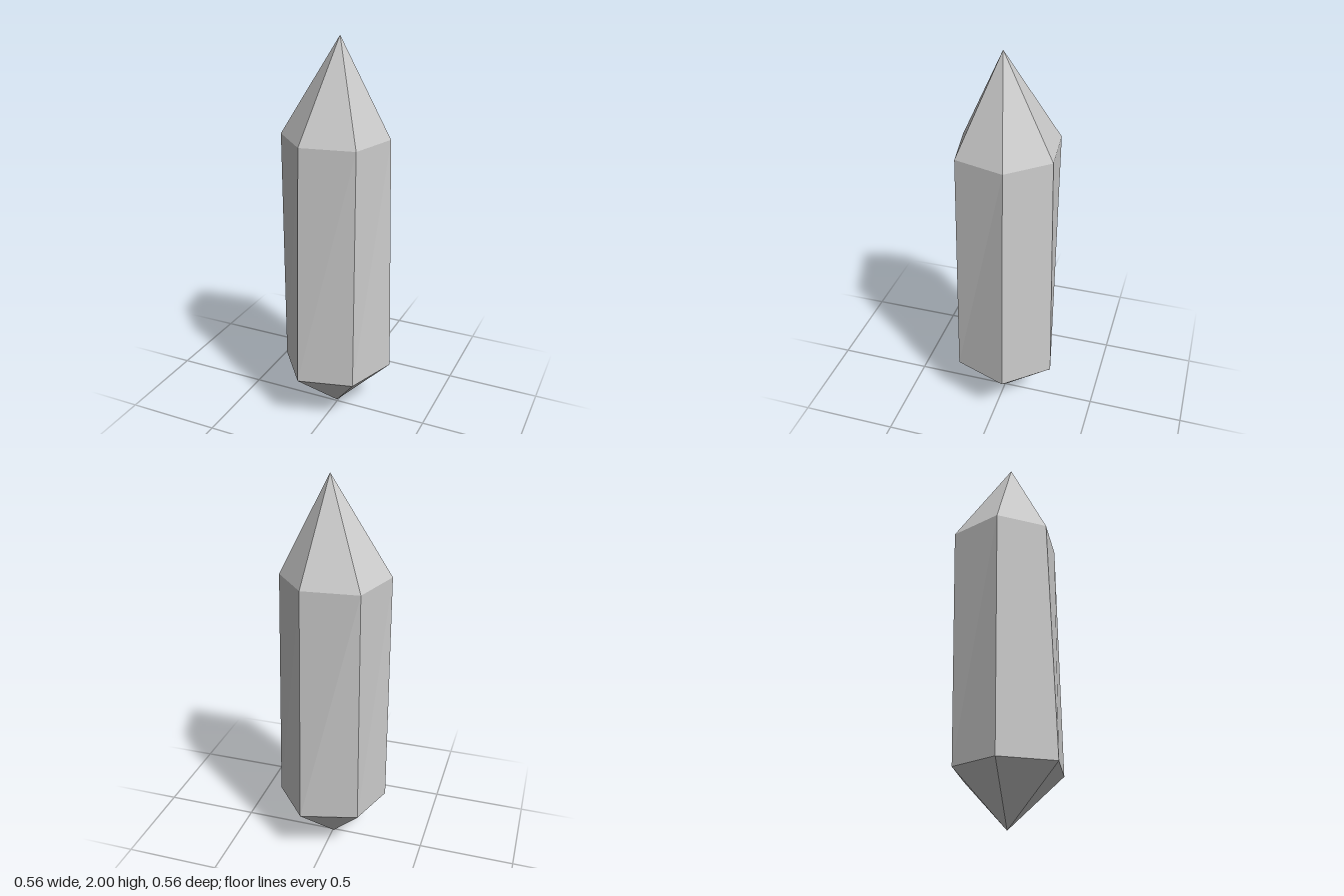
import * as THREE from 'three';

// Irregular hexagonal cross-sections as [x, z], clockwise seen from above
const LOWER_Y = 0.27, UPPER_Y = 1.515;
const lowerRing = [[0.093, -0.282], [0.279, -0.066], [0.18, 0.208], [-0.099, 0.28], [-0.281, 0.05], [-0.195, -0.205]];
const upperRing = [[0.083, -0.255], [0.253, -0.063], [0.18, 0.19], [-0.09, 0.242], [-0.281, 0.05], [-0.2, -0.227]];
const apex = [0.016, 2, 0.004];
const root = [-0.006, 0, -0.01];

export function createModel() {
  const crystal = new THREE.MeshStandardMaterial({ color: 0xcccccc });
  crystal.name = 'crystalGrey';
  const group = new THREE.Group();
  group.name = 'crystal';

  const lower = lowerRing.map(([x, z]) => [x, LOWER_Y, z]);
  const upper = upperRing.map(([x, z]) => [x, UPPER_Y, z]);

  // Unshared corners give each facet its own flat normal
  function addFacets(name, cornersOfSide) {
    const corners = lower.flatMap((_, i) => cornersOfSide(i, (i + 1) % lower.length));
    const geometry = new THREE.BufferGeometry();
    geometry.setAttribute('position', new THREE.Float32BufferAttribute(corners.flat(), 3));
    geometry.computeVertexNormals();
    const mesh = new THREE.Mesh(geometry, crystal);
    mesh.name = name;
    group.add(mesh);
  }

  // Short lower point
  addFacets('lowerPoint', (i, j) => [root, lower[i], lower[j]]);
  // Long, slightly tapering shaft
  addFacets('shaft', (i, j) => [lower[i], upper[i], lower[j], upper[i], upper[j], lower[j]]);
  // Tall upper point
  addFacets('upperPoint', (i, j) => [upper[i], apex, upper[j]]);

  return group;
}
